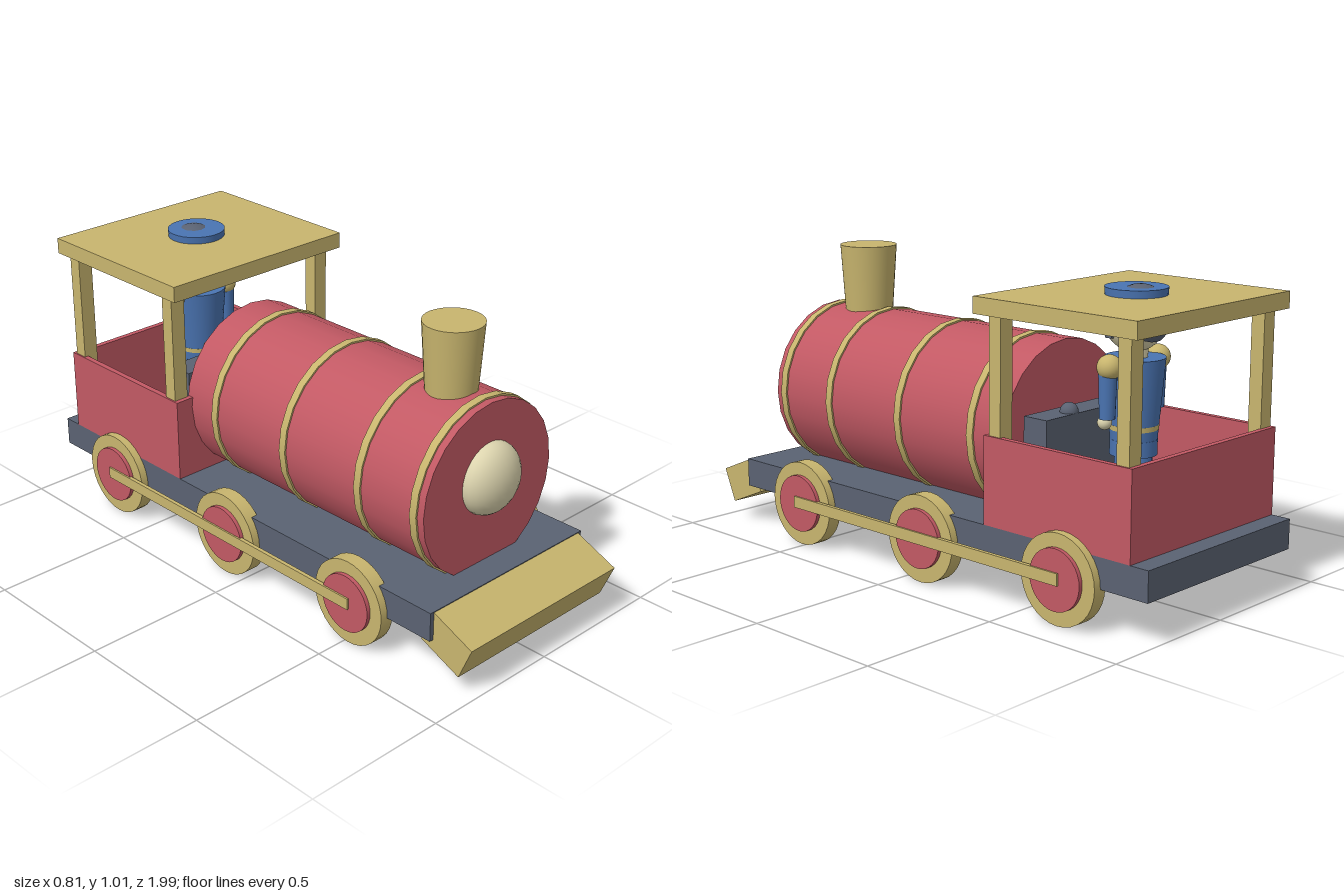
import * as THREE from 'three';

const paint = (name, color, side = THREE.FrontSide) => {
  const m = new THREE.MeshStandardMaterial({ color, side });
  m.name = name;
  return m;
};

export function createModel() {
  const red = paint('red', 0xc25964);
  const gold = paint('gold', 0xc8b56e);
  const slate = paint('slate', 0x5a6272, THREE.DoubleSide);
  const blue = paint('blue', 0x4a74b2);
  const cream = paint('cream', 0xdcd4ae);

  const train = new THREE.Group();
  train.name = 'steamTrain';

  const add = (name, geo, mat, x, y, z, parent = train) => {
    const mesh = new THREE.Mesh(geo, mat);
    mesh.name = name;
    mesh.position.set(x, y, z);
    parent.add(mesh);
    return mesh;
  };
  // Box given by its limits on each axis
  const box = (name, mat, x0, x1, y0, y1, z0, z1, parent) =>
    add(name, new THREE.BoxGeometry(x1 - x0, y1 - y0, z1 - z0), mat,
      (x0 + x1) / 2, (y0 + y1) / 2, (z0 + z1) / 2, parent);
  const ball = (name, mat, r, x, y, z, parent) =>
    add(name, new THREE.SphereGeometry(r, 24, 16), mat, x, y, z, parent);
  const cyl = (rTop, rBottom, h, n = 24) => new THREE.CylinderGeometry(rTop, rBottom, h, n);

  // Chassis and sloping front plough
  box('chassis', slate, -0.36, 0.36, 0.145, 0.245, -1, 0.84);
  const plough = add('plough', new THREE.BoxGeometry(0.69, 0.125, 0.168), gold, 0, 0.152, 0.893);
  plough.rotation.x = 0.4;

  // Boiler with bands, lamp and chimney
  add('boiler', cyl(0.295, 0.295, 1.105).rotateX(Math.PI / 2), red, 0, 0.5, 0.1875);
  for (const z of [0.7, 0.46, 0.117, -0.22])
    add('boilerBand', cyl(0.301, 0.301, 0.028).rotateX(Math.PI / 2), gold, 0, 0.5, z);
  ball('lamp', cream, 0.123, 0, 0.538, 0.742).scale.z = 0.64;
  add('chimney', cyl(0.1, 0.081, 0.285, 32), gold, 0, 0.8725, 0.572);

  // Cab walls, posts and roof
  const cab = new THREE.Group();
  cab.name = 'cab';
  train.add(cab);
  box('frontWall', red, -0.36, 0.36, 0.245, 0.535, -0.362, -0.342, cab);
  box('backWall', red, -0.36, 0.36, 0.245, 0.535, -0.932, -0.912, cab);
  for (const s of [-1, 1]) {
    box('sideWall', red, s * 0.35 - 0.01, s * 0.35 + 0.01, 0.245, 0.535, -0.912, -0.362, cab);
    for (const z of [-0.383, -0.893])
      box('roofPost', gold, s * 0.327 - 0.027, s * 0.327 + 0.027, 0.25, 0.92, z - 0.024, z + 0.024, cab);
  }
  box('roof', gold, -0.377, 0.377, 0.915, 0.97, -0.955, -0.312, cab);

  // Control desk with its lever and dial
  box('controlDesk', slate, -0.25, 0.25, 0.245, 0.588, -0.505, -0.41, cab);
  add('leverStem', cyl(0.007, 0.007, 0.04, 10), gold, -0.11, 0.6, -0.475, cab);
  ball('leverKnob', gold, 0.014, -0.11, 0.625, -0.475, cab).scale.y = 1.6;
  ball('dial', slate, 0.03, 0.11, 0.59, -0.475, cab);

  // Wheels and coupling rods
  for (const s of [-1, 1]) {
    for (const z of [0.513, -0.08, -0.674]) {
      add('wheel', cyl(0.1475, 0.1475, 0.05, 32).rotateZ(Math.PI / 2), gold, s * 0.362, 0.1475, z);
      add('hub', cyl(0.1, 0.1, 0.03, 32).rotateZ(Math.PI / 2), red, s * 0.386, 0.15, z);
    }
    box('couplingRod', gold, s * 0.4 - 0.007, s * 0.4 + 0.007, 0.135, 0.175, -0.69, 0.53);
  }

  // Driver
  const driver = new THREE.Group();
  driver.name = 'driver';
  driver.position.z = -0.648;
  train.add(driver);
  add('torso', cyl(0.097, 0.074, 0.275), blue, 0, 0.6375, 0, driver);
  add('belt', cyl(0.08, 0.079, 0.016), gold, 0, 0.555, 0, driver);
  add('hips', cyl(0.076, 0.076, 0.05), blue, 0, 0.49, 0, driver);
  add('neck', cyl(0.04, 0.04, 0.06), cream, 0, 0.79, 0, driver);
  ball('head', cream, 0.095, 0, 0.885, 0.004, driver);
  ball('nose', cream, 0.017, 0, 0.872, 0.1, driver);
  box('moustache', slate, -0.035, 0.035, 0.84, 0.855, 0.075, 0.094, driver);
  for (const s of [-1, 1]) {
    add('leg', cyl(0.036, 0.034, 0.26, 16), blue, s * 0.04, 0.37, 0, driver);
    box('shoe', slate, s * 0.04 - 0.033, s * 0.04 + 0.033, 0.245, 0.275, -0.035, 0.07, driver);
    ball('epaulette', gold, 0.04, s * 0.12, 0.757, 0.004, driver);
    add('arm', cyl(0.03, 0.025, 0.15, 16), blue, s * 0.122, 0.67, 0.008, driver);
    ball('hand', cream, 0.023, s * 0.122, 0.582, 0.018, driver);
    ball('ear', cream, 0.02, s * 0.093, 0.88, 0, driver);
    box('sideburn', slate, s * 0.085 - 0.008, s * 0.085 + 0.008, 0.84, 0.905, 0.02, 0.045, driver);
    ball('eye', slate, 0.012, s * 0.035, 0.897, 0.088, driver);
  }
  // Hair wraps the back of the head and shows through the hat
  const hair = add('hair', new THREE.SphereGeometry(0.1, 24, 16, 0, Math.PI * 2, 0, 1.75),
    slate, 0, 0.904, -0.015, driver);
  hair.rotation.x = -0.65;
  add('hat', cyl(0.1, 0.095, 0.075, 32), blue, 0, 0.957, 0, driver);

  return train;
}
